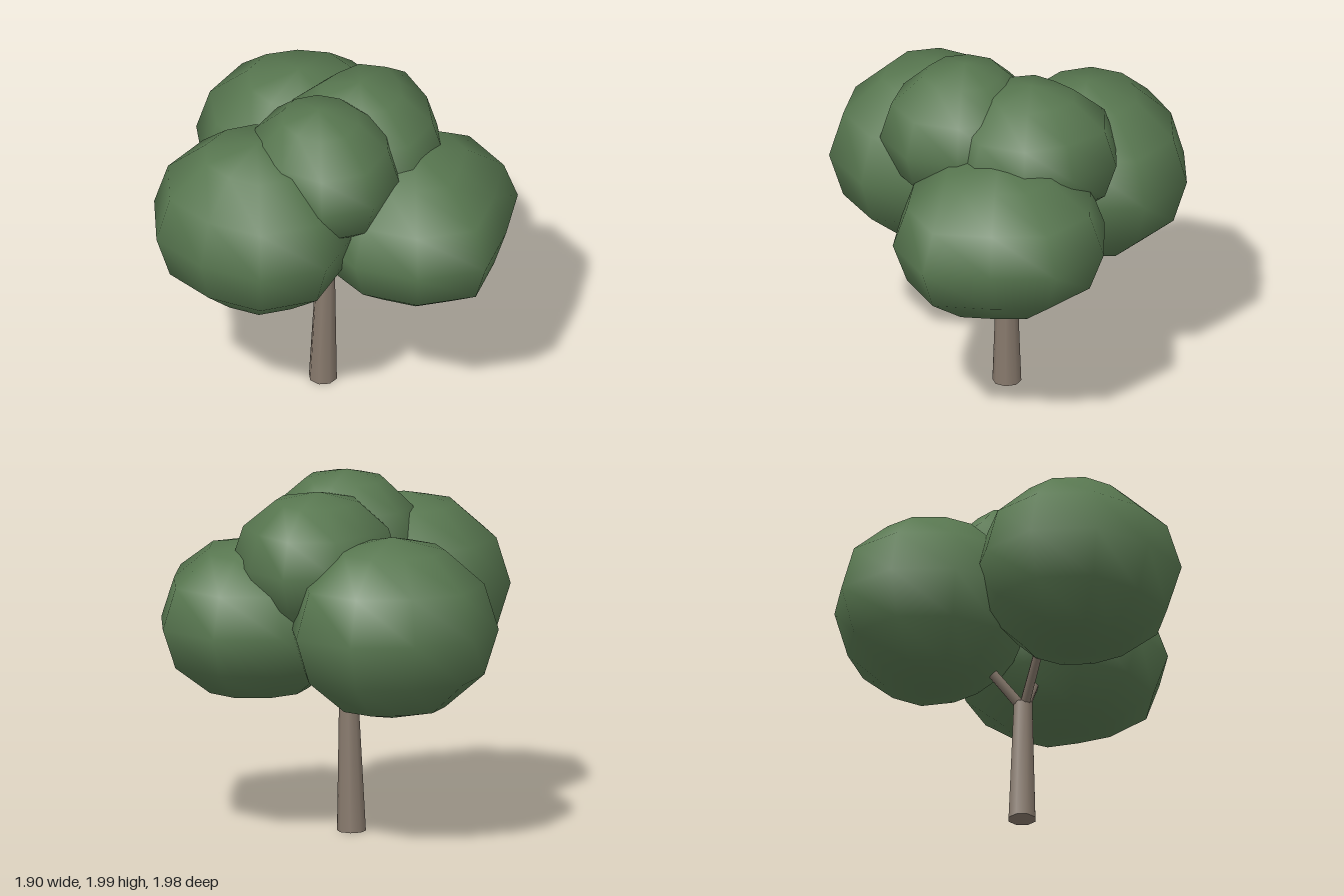
import * as THREE from 'three';
import { mergeVertices } from 'three/addons/utils/BufferGeometryUtils.js';

const leaves = new THREE.MeshStandardMaterial({ color: 0x587750 });
leaves.name = 'leafGreen';
const bark = new THREE.MeshStandardMaterial({ color: 0x887a6d });
bark.name = 'barkBrown';

// Lumpy ten-sided leaf clump; radii run round the clump from +x towards +z
function clump(name, center, height, radii) {
  const geo = new THREE.SphereGeometry(1, 10, 6);
  geo.deleteAttribute('uv');
  geo.deleteAttribute('normal');
  const merged = mergeVertices(geo, 1e-4);
  const p = merged.attributes.position;
  for (let i = 0; i < p.count; i++) {
    const x = p.getX(i), y = p.getY(i), z = p.getZ(i);
    const k = (Math.round(Math.atan2(z, x) / (Math.PI / 5)) + 10) % 10;
    p.setXYZ(i, x * radii[k], y * height, z * radii[k]);
  }
  merged.computeVertexNormals();
  const mesh = new THREE.Mesh(merged, leaves);
  mesh.name = name;
  mesh.position.set(...center);
  return mesh;
}

// Tapered limb between two points
function limb(name, from, to, r0, r1, sides) {
  const a = new THREE.Vector3(...from), b = new THREE.Vector3(...to);
  const dir = b.clone().sub(a);
  const mesh = new THREE.Mesh(new THREE.CylinderGeometry(r1, r0, dir.length(), sides), bark);
  mesh.name = name;
  mesh.position.copy(a).add(b).multiplyScalar(0.5);
  mesh.quaternion.setFromUnitVectors(new THREE.Vector3(0, 1, 0), dir.normalize());
  return mesh;
}

export function createModel() {
  const tree = new THREE.Group();
  tree.name = 'tree';

  // Trunk, leaning slightly, with its foot cut level
  const trunkGeo = new THREE.CylinderGeometry(0.055, 0.08, 0.71, 8);
  trunkGeo.applyMatrix4(new THREE.Matrix4().makeShear(0, 0, 0.02, 0, 0, 0));
  const trunk = new THREE.Mesh(trunkGeo, bark);
  trunk.name = 'trunk';
  trunk.position.set(-0.095, 0.355, 0);
  tree.add(trunk);

  // Three branches reaching into the lower clumps
  const fork = [-0.085, 0.68, 0];
  tree.add(
    limb('frontBranch', fork, [-0.36, 1.05, 0.26], 0.03, 0.025, 6),
    limb('backBranch', fork, [-0.36, 1.05, -0.26], 0.03, 0.025, 6),
    limb('leftBranch', fork, [0.22, 1.12, 0], 0.035, 0.028, 6),
  );

  // Lower clumps: the front and back ones are mirrored in z
  const side = [0.56, 0.62, 0.6, 0.55, 0.59, 0.59, 0.56, 0.55, 0.55, 0.56];
  const mirrored = side.map((_, k) => side[(10 - k) % 10]);
  tree.add(
    clump('frontClump', [-0.36, 1.32, 0.42], 0.51, side),
    clump('backClump', [-0.36, 1.24, -0.42], 0.51, mirrored),
    clump('leftClump', [0.42, 1.19, 0], 0.45,
      [0.53, 0.64, 0.6, 0.58, 0.58, 0.57, 0.58, 0.6, 0.63, 0.61]),
  );

  // Upper clumps
  tree.add(
    clump('topFrontClump', [-0.06, 1.59, 0.23], 0.4,
      [0.46, 0.49, 0.48, 0.42, 0.42, 0.42, 0.43, 0.42, 0.42, 0.45]),
    clump('topBackClump', [0.07, 1.54, -0.15], 0.4,
      [0.48, 0.5, 0.46, 0.46, 0.46, 0.45, 0.4, 0.48, 0.51, 0.45]),
  );
  return tree;
}
